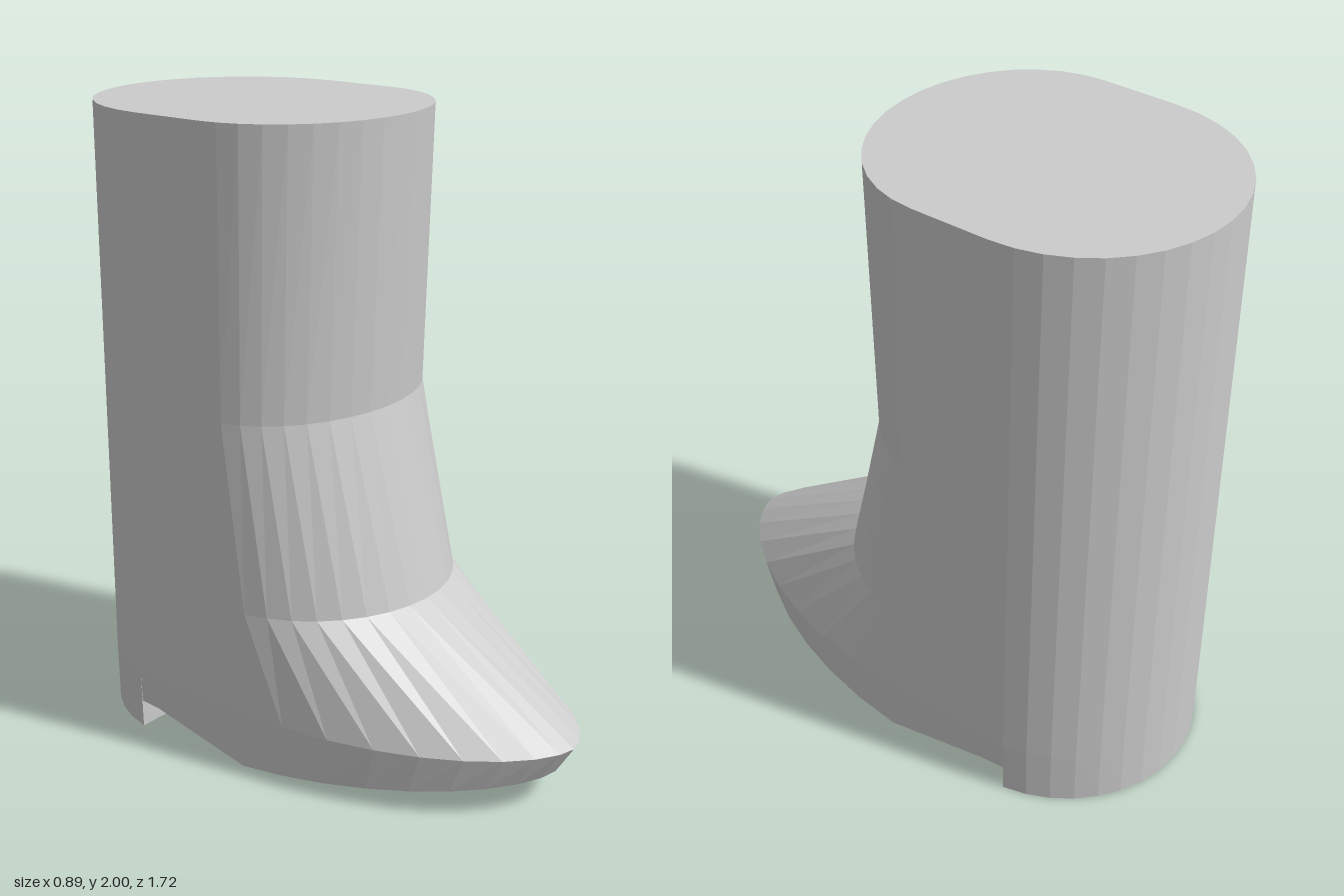
import * as THREE from 'three';

const HALF_WIDTH = 0.445, MID_Z = -0.42, BACK_R = 0.44, STEP_Z = -0.5;
const BACK_SEGS = 9, FRONT_SEGS = 9;

// Underside height of the sole: arch behind the ball, rising toward the toe
function soleY(z) {
  if (z > -0.06) return 0.01 + (z + 0.06) * 0.105;
  if (z > MID_Z) return 0.01 + (-0.06 - z) * 0.222;
  return 0.09;
}

// Half outline (x >= 0) from heel to toe; y === null follows the sole
function halfRing({ y, w = HALF_WIDTH, bend, front, p = 1 }) {
  const pts = [];
  const add = (x, z, low) => pts.push(new THREE.Vector3(x, y ?? low, z));
  const stepAngle = Math.acos((MID_Z - STEP_Z) / BACK_R);
  // Rounded back, down to the heel step
  for (let i = 0; i < BACK_SEGS; i++) {
    const a = stepAngle * i / (BACK_SEGS - 1);
    add(w * Math.sin(a), MID_Z - BACK_R * Math.cos(a), 0);
  }
  // Upper edge of the step, then the straight side
  add(w * Math.sin(stepAngle), STEP_Z, 0.09);
  add(w, MID_Z, 0.09);
  // Rounded front
  for (let i = 0; i <= FRONT_SEGS; i++) {
    const a = Math.PI / 2 * i / FRONT_SEGS;
    const z = bend + (front - bend) * Math.sin(a);
    const x = i === FRONT_SEGS ? 0 : w * Math.pow(Math.cos(a), p);
    add(x, z, soleY(z));
  }
  return pts;
}

export function createModel() {
  // Levels from the sole to the top of the shaft
  const rings = [
    { y: null, w: 0.44, bend: -0.06, front: 0.8, p: 1.15 },
    { y: 0.195, bend: -0.06, front: 0.86, p: 1.2 },
    { y: 0.53, bend: -0.12, front: 0.315 },
    { y: 1.12, bend: -0.18, front: 0.16 },
    { y: 2, bend: -0.18, front: 0.205 },
  ].map(halfRing);

  const positions = [];
  const tri = new THREE.Triangle();
  const addTri = (a, b, c) => {
    if (tri.set(a, b, c).getArea() > 1e-7) {
      for (const v of [a, b, c]) positions.push(v.x, v.y, v.z);
    }
  };
  const addQuad = (a, b, c, d) => { addTri(a, b, c); addTri(a, c, d); };
  const mirror = (v) => new THREE.Vector3(-v.x, v.y, v.z);

  // Side walls, mirrored left and right
  for (let j = 0; j < rings.length - 1; j++) {
    for (let i = 0; i < rings[j].length - 1; i++) {
      const [a, b] = [rings[j][i], rings[j][i + 1]];
      const [d, c] = [rings[j + 1][i], rings[j + 1][i + 1]];
      addQuad(a, d, c, b);
      addQuad(mirror(a), mirror(b), mirror(c), mirror(d));
    }
  }

  // Flat top and stepped sole, as strips across the width
  const top = rings[rings.length - 1], sole = rings[0];
  for (let i = 0; i < top.length - 1; i++) {
    addQuad(mirror(top[i]), mirror(top[i + 1]), top[i + 1], top[i]);
    addQuad(sole[i], sole[i + 1], mirror(sole[i + 1]), mirror(sole[i]));
  }

  const geometry = new THREE.BufferGeometry();
  geometry.setAttribute('position', new THREE.Float32BufferAttribute(positions, 3));
  geometry.computeVertexNormals();

  const boot = new THREE.Mesh(geometry, new THREE.MeshStandardMaterial({ color: 0xcccccc, flatShading: true }));
  boot.name = 'boot';
  const group = new THREE.Group();
  group.name = 'bootModel';
  group.add(boot);
  return group;
}
